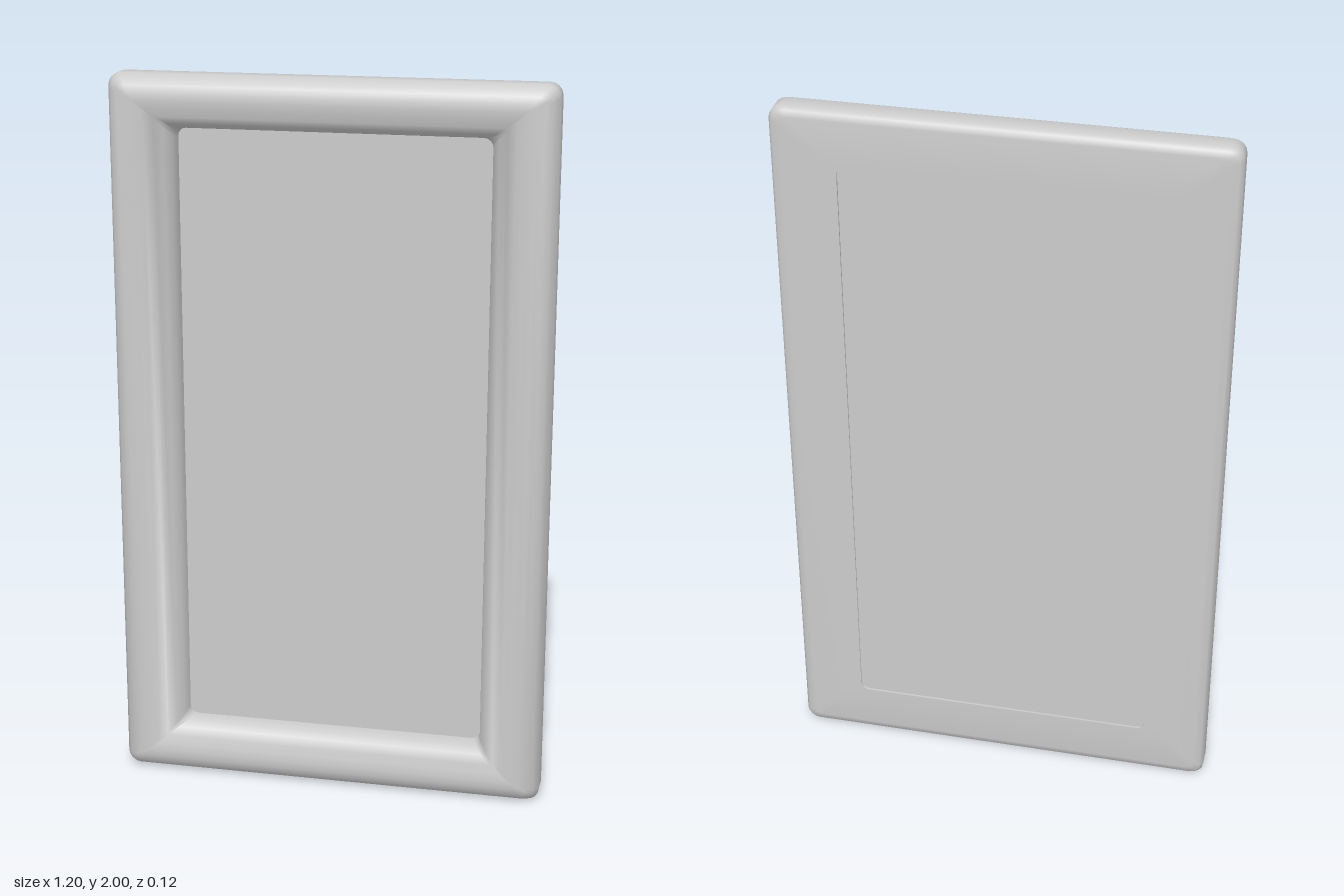
import * as THREE from 'three';
import { toCreasedNormals } from 'three/addons/utils/BufferGeometryUtils.js';

const OUTER = { x: 0.6, y: 1.0 };
const RAIL = { x: 0.175, y: 0.147 }; // width of the side and top/bottom rails

// Rounded rectangle, counter-clockwise seen from the front
function ring(hx, hy, z, r, steps = 4) {
  const pts = [];
  const corners = [[1, 1], [-1, 1], [-1, -1], [1, -1]];
  corners.forEach(([sx, sy], k) => {
    for (let i = 0; i <= steps; i++) {
      const a = (k + i / steps) * Math.PI / 2;
      pts.push([sx * (hx - r) + r * Math.cos(a), sy * (hy - r) + r * Math.sin(a), z]);
    }
  });
  return pts;
}

// Skin a closed series of rings
function loft(rings) {
  const n = rings[0].length, index = [];
  rings.forEach((_, i) => {
    const next = (i + 1) % rings.length;
    for (let j = 0; j < n; j++) {
      const k = (j + 1) % n;
      const a = i * n + j, b = i * n + k, c = next * n + k, d = next * n + j;
      index.push(a, b, c, a, c, d);
    }
  });
  const geo = new THREE.BufferGeometry();
  geo.setAttribute('position', new THREE.Float32BufferAttribute(rings.flat(2), 3));
  geo.setIndex(index);
  return toCreasedNormals(geo, 0.9);
}

export function createModel() {
  const group = new THREE.Group();
  const material = new THREE.MeshStandardMaterial({ color: 0xcccccc });

  // Moulding section: inset across the rail (0 outside, 1 inside), depth, corner radius
  const section = [
    [0.17, -0.058, 0.02],
    [0.05, -0.054, 0.03],
    [0, -0.043, 0.035],
    [0, 0.01, 0.035],
    [0.085, 0.038, 0.03],
    [0.19, 0.05, 0.02],
    [0.31, 0.057, 0.008],
    [0.45, 0.058, 0.005],
    [0.6, 0.054, 0.005],
    [0.75, 0.044, 0.006],
    [0.88, 0.026, 0.012],
    [0.97, 0.002, 0.02],
    [1, -0.025, 0.025],
    [1, -0.058, 0.025],
  ];
  const frame = new THREE.Mesh(
    loft(section.map(([u, z, r]) => ring(OUTER.x - u * RAIL.x, OUTER.y - u * RAIL.y, z, r))),
    material
  );
  frame.name = 'frame';
  frame.position.y = 1;

  // Thin board set just inside the back of the frame
  const panel = new THREE.Mesh(new THREE.BoxGeometry(0.86, 1.716, 0.012), material);
  panel.name = 'backPanel';
  panel.position.set(0, 1, -0.046);

  group.add(frame, panel);
  return group;
}
